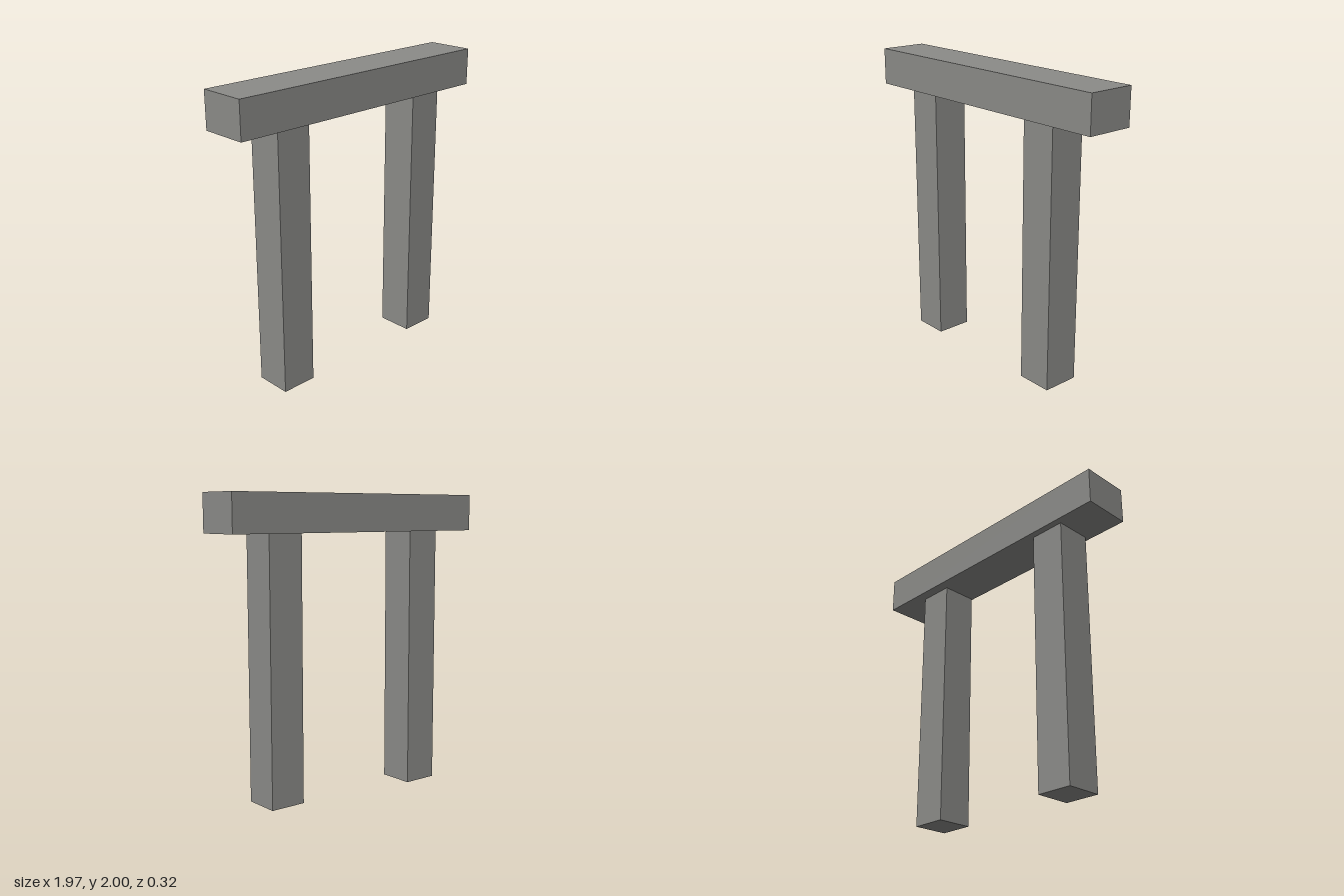
import * as THREE from 'three';

export function createModel() {
  const model = new THREE.Group();
  const stone = new THREE.MeshStandardMaterial({ color: 0x8b8b88 });
  stone.name = 'grey stone';

  function block(name, size, center) {
    const mesh = new THREE.Mesh(new THREE.BoxGeometry(...size), stone);
    mesh.name = name;
    mesh.position.set(...center);
    model.add(mesh);
  }

  // Horizontal beam across the top
  block('lintel', [1.966, 0.245, 0.323], [0, 1.8775, 0]);

  // Two square posts, slightly offset from each other and let into the beam
  const post = [0.243, 1.77, 0.245];
  block('rightPost', post, [-0.573, 0.885, 0.006]);
  block('leftPost', post, [0.561, 0.916, 0.031]);

  return model;
}
